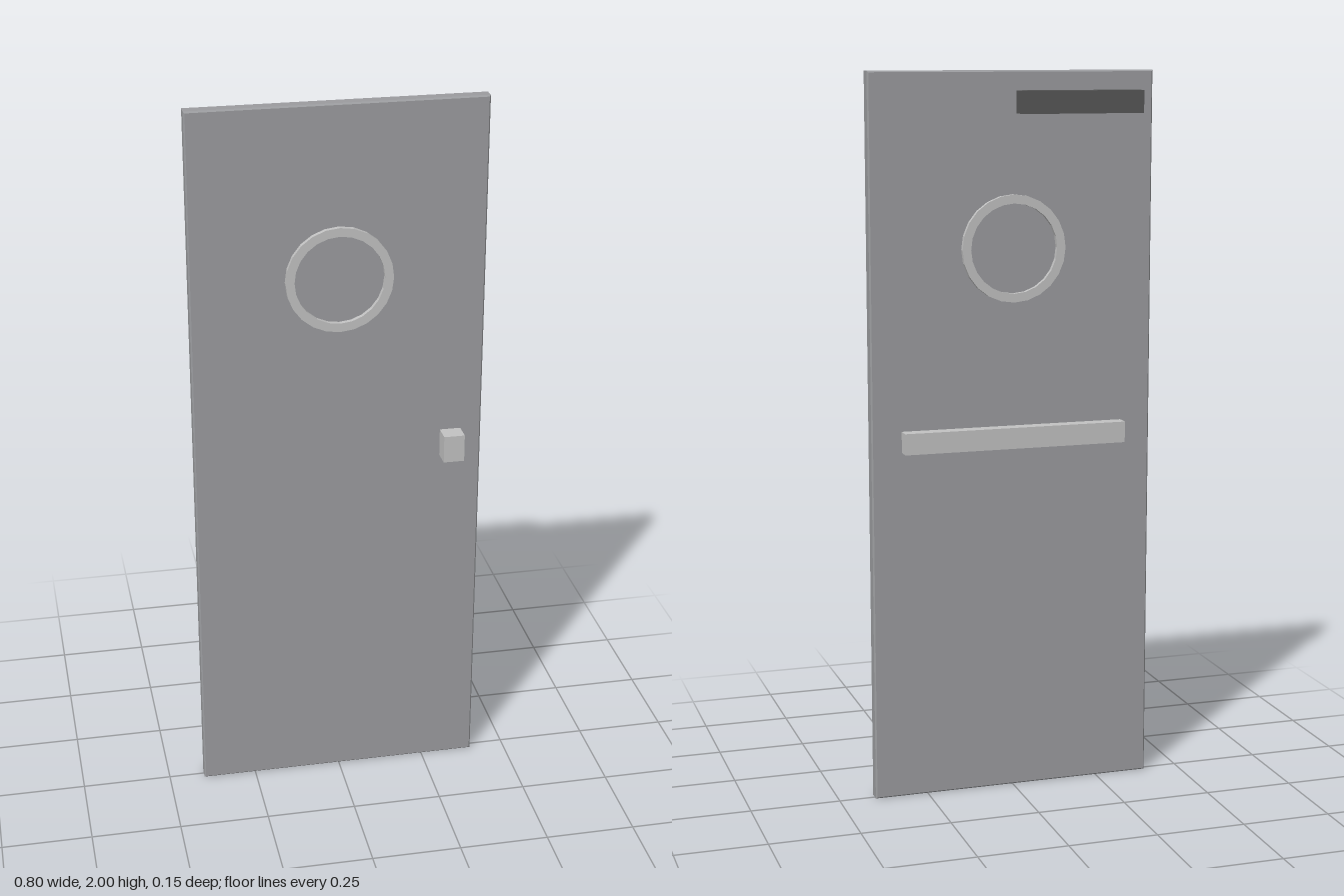
import * as THREE from 'three';

export function createModel() {
  const model = new THREE.Group();
  model.name = 'door';
  const material = (name, color) => {
    const m = new THREE.MeshStandardMaterial({ color });
    m.name = name;
    return m;
  };
  const doorGrey = material('doorGrey', 0x9b9c9f);
  const paleMetal = material('paleMetal', 0xc2c2c2);
  const darkMetal = material('darkMetal', 0x575757);

  const add = (name, geometry, mat) => {
    const mesh = new THREE.Mesh(geometry, mat);
    mesh.name = name;
    model.add(mesh);
    return mesh;
  };
  // Box given by its limits on each axis
  const block = (name, mat, [x0, x1], [y0, y1], [z0, z1]) =>
    add(name, new THREE.BoxGeometry(x1 - x0, y1 - y0, z1 - z0), mat)
      .position.set((x0 + x1) / 2, (y0 + y1) / 2, (z0 + z1) / 2);

  // Door leaf with finely chamfered edges
  const back = -0.016, front = 0.023, bevel = 0.004;
  const outline = new THREE.Shape([
    new THREE.Vector2(-0.4 + bevel, bevel),
    new THREE.Vector2(0.4 - bevel, bevel),
    new THREE.Vector2(0.4 - bevel, 2 - bevel),
    new THREE.Vector2(-0.4 + bevel, 2 - bevel),
  ]);
  const leaf = new THREE.ExtrudeGeometry(outline, {
    depth: front - back - 2 * bevel,
    bevelEnabled: true, bevelThickness: bevel, bevelSize: bevel, bevelSegments: 1,
  });
  leaf.translate(0, 0, back + bevel);
  add('doorLeaf', leaf, doorGrey);

  // Round window trim, one ring on each face
  const circle = (radius) => Array.from({ length: 24 }, (_, i) => {
    const a = (i / 24) * Math.PI * 2;
    return new THREE.Vector2(Math.cos(a) * radius, Math.sin(a) * radius);
  });
  const ring = new THREE.Shape(circle(0.146));
  ring.holes.push(new THREE.Path(circle(0.122).reverse()));
  for (const [name, z, depth] of [['frontWindowRing', front, 0.014], ['backWindowRing', -0.03, 0.014]]) {
    add(name, new THREE.ExtrudeGeometry(ring, { depth, bevelEnabled: false }), paleMetal)
      .position.set(0, 1.525, z);
  }

  // Handle on the front, push bar and closer on the back
  block('handle', paleMetal, [0.284, 0.342], [0.984, 1.061], [front, 0.075]);
  block('pushBar', paleMetal, [-0.306, 0.322], [0.984, 1.042], [-0.077, -0.039]);
  block('doorCloser', darkMetal, [-0.352, -0.01], [1.886, 1.947], [-0.077, back]);

  return model;
}
